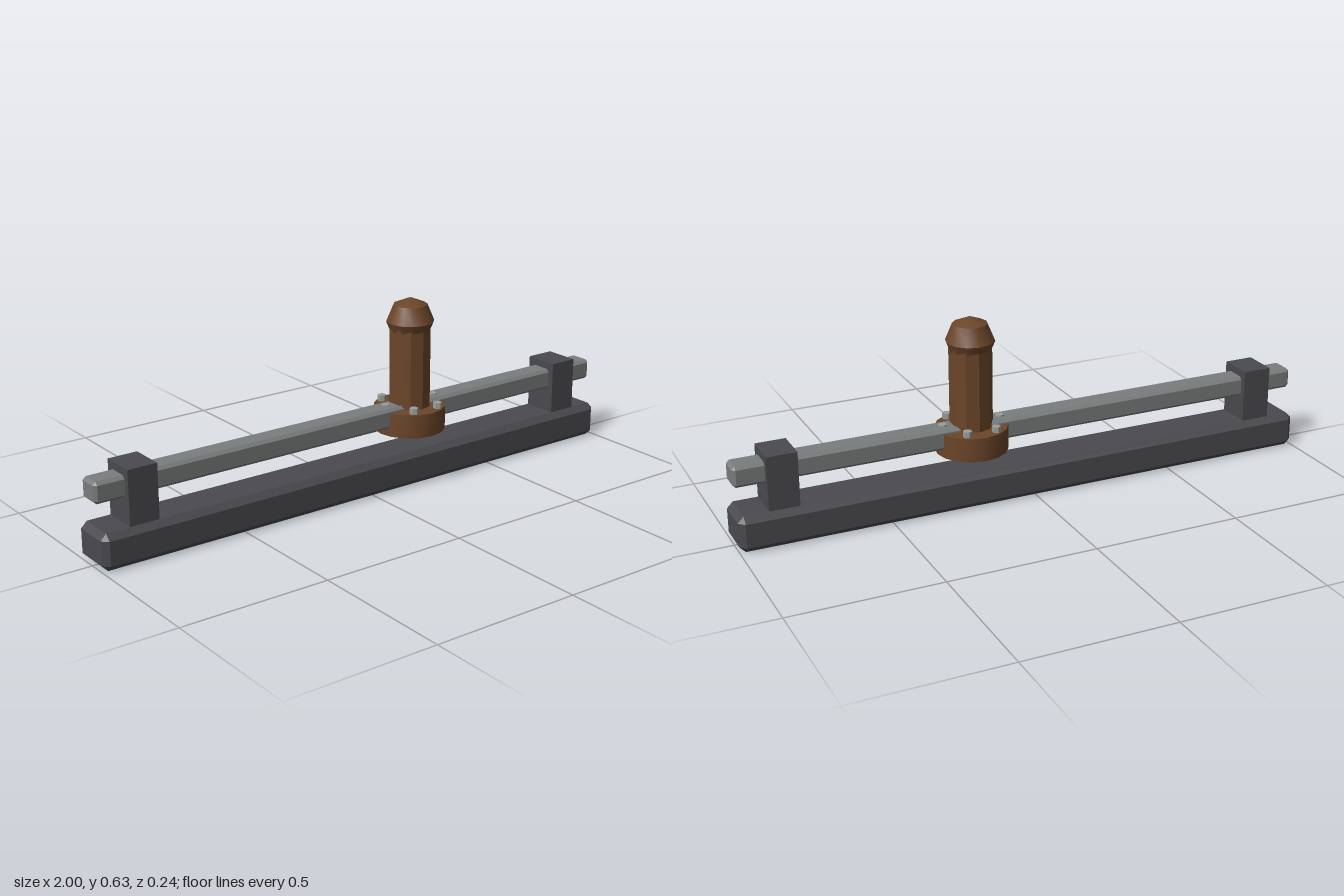
import * as THREE from 'three';
import { toCreasedNormals } from 'three/addons/utils/BufferGeometryUtils.js';
import { ConvexGeometry } from 'three/addons/geometries/ConvexGeometry.js';

const material = (name, color) => {
  const m = new THREE.MeshStandardMaterial({ color });
  m.name = name;
  return m;
};

// Box with one flat chamfer of width c along every edge
function chamferBox(w, h, d, c) {
  const x = w / 2, y = h / 2, z = d / 2, points = [];
  for (const i of [-1, 1]) for (const j of [-1, 1]) for (const k of [-1, 1]) {
    points.push(
      new THREE.Vector3(i * x, j * (y - c), k * (z - c)),
      new THREE.Vector3(i * (x - c), j * y, k * (z - c)),
      new THREE.Vector3(i * (x - c), j * (y - c), k * z));
  }
  return new ConvexGeometry(points);
}

export function createModel() {
  const darkMetal = material('dark metal', 0x4a4a4f);
  const steel = material('steel', 0x7a7d7d);
  const brown = material('brown', 0x6b4529);
  const boltMetal = material('bolt metal', 0x9a9d9a);

  const model = new THREE.Group();
  model.name = 'railLever';
  const add = (parent, name, geometry, mat, x, y, z = 0) => {
    const mesh = new THREE.Mesh(geometry, mat);
    mesh.name = name;
    mesh.position.set(x, y, z);
    parent.add(mesh);
    return mesh;
  };

  // Base beam, two posts and the rail they carry
  add(model, 'base', chamferBox(2, 0.12, 0.16, 0.02), darkMetal, 0, 0.06);
  for (const side of [-1, 1]) {
    add(model, side > 0 ? 'leftPost' : 'rightPost',
      new THREE.BoxGeometry(0.1, 0.2, 0.12), darkMetal, side * 0.85, 0.2);
  }
  add(model, 'rail', chamferBox(2, 0.07, 0.08, 0.01), steel, 0, 0.24);

  // Sliding handle: flange, faceted grip and domed knob
  const handle = new THREE.Group();
  handle.name = 'handle';
  handle.position.x = 0.2;
  model.add(handle);
  const crease = (g) => toCreasedNormals(g, 0.6);
  add(handle, 'flange', crease(new THREE.CylinderGeometry(0.12, 0.12, 0.08, 16)), brown, 0, 0.22);
  add(handle, 'grip', crease(new THREE.CylinderGeometry(0.07, 0.07, 0.29, 10)), brown, 0, 0.395);
  add(handle, 'knob', crease(new THREE.SphereGeometry(0.08, 12, 4)), brown, 0, 0.55);

  // Ring of hexagonal bolts on the flange
  const boltGeometry = crease(new THREE.CylinderGeometry(0.015, 0.015, 0.04, 6));
  for (let i = 0; i < 6; i++) {
    const a = i * Math.PI / 3;
    add(handle, 'bolt' + (i + 1), boltGeometry, boltMetal, 0.1 * Math.cos(a), 0.26, 0.1 * Math.sin(a));
  }
  return model;
}
